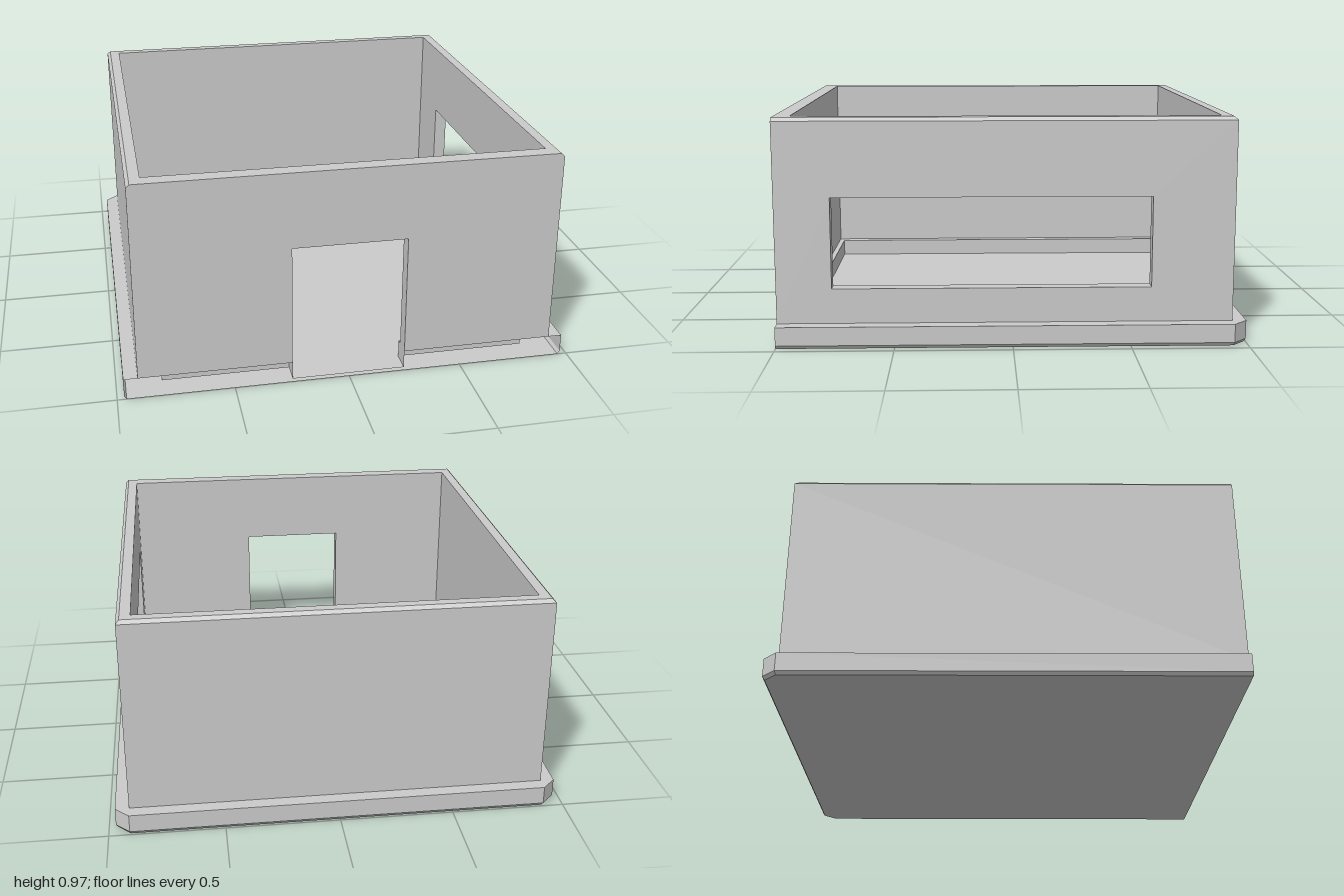
import * as THREE from 'three';

const material = new THREE.MeshStandardMaterial({ color: 0xcccccc, side: THREE.DoubleSide, flatShading: true });

// Faceted surface through rows of matching points [x, y, z]
function loft(name, rows) {
  const pos = [];
  for (let r = 0; r + 1 < rows.length; r++) {
    for (let i = 0; i + 1 < rows[r].length; i++) {
      const a = rows[r][i], b = rows[r][i + 1], c = rows[r + 1][i + 1], d = rows[r + 1][i];
      pos.push(...a, ...c, ...b, ...a, ...d, ...c);
    }
  }
  const g = new THREE.BufferGeometry();
  g.setAttribute('position', new THREE.Float32BufferAttribute(pos, 3));
  return finish(name, g);
}

// Flat panel from a 2D outline with an optional hole, placed by a mapping (u, v) -> [x, y, z]
function panel(name, outline, place, hole) {
  const toVec = (list) => list.map(([u, v]) => new THREE.Vector2(u, v));
  const shape = new THREE.Shape(toVec(outline));
  if (hole) shape.holes.push(new THREE.Path(toVec(hole)));
  const g = new THREE.ShapeGeometry(shape);
  const p = g.attributes.position;
  for (let i = 0; i < p.count; i++) p.setXYZ(i, ...place(p.getX(i), p.getY(i)));
  return finish(name, g);
}

function finish(name, geometry) {
  geometry.computeVertexNormals();
  const mesh = new THREE.Mesh(geometry, material);
  mesh.name = name;
  return mesh;
}

const rect = (u0, v0, u1, v1) => [[u0, v0], [u1, v0], [u1, v1], [u0, v1]];
const atX = (x) => (z, y) => [x, y, -z];
const atY = (y) => (x, z) => [x, y, -z];
const atZ = (z) => (x, y) => [x, y, z];

// Main levels and lines
const FLOOR = 0.015, LEDGE = 0.095, EAVE = 0.955, TOP = 0.97;
const W = 0.91, BACK = -0.94, FRONT = 1;
const IN = { l: -0.85, r: 0.85, b: -0.88, f: 0.93 };
const RIM = { l: -0.805, r: 0.815, b: -0.855, f: 0.905 };
const DOOR = { l: -0.25, r: 0.245, top: 0.635 };
const WIN = { z0: -0.59, z1: 0.765, y0: 0.245, y1: 0.635 };

export function createModel() {
  const model = new THREE.Group();
  model.name = 'openRoom';

  // Plinth skirt: clipped back corners, open along the front
  const skirt = (y, w, b, c) => [
    [-w, y, FRONT], [-w, y, b + c], [-w + c, y, b], [w - c, y, b], [w, y, b + c], [w, y, FRONT]];
  const wallFoot = [
    [-W, LEDGE, FRONT], [-W, LEDGE, BACK], [-W, LEDGE, BACK], [W, LEDGE, BACK], [W, LEDGE, BACK], [W, LEDGE, FRONT]];
  model.add(loft('plinthSkirt', [
    skirt(0, 0.96, -0.99, 0.055), skirt(FLOOR, 0.97, -1, 0.06), skirt(LEDGE, 0.97, -1, 0.06), wallFoot]));
  model.add(panel('underside', skirt(0, 0.96, -0.99, 0.055).map(([x, , z]) => [x, -z]).reverse(), atY(0)));

  // Outer walls
  const wall = new THREE.Group();
  wall.name = 'outerWalls';
  const sideOutline = rect(-FRONT, LEDGE, -BACK, EAVE);
  const windowHole = rect(-WIN.z1, WIN.y0, -WIN.z0, WIN.y1);
  wall.add(panel('windowWall', sideOutline, atX(W), windowHole));
  wall.add(loft('plainWall', [[[-W, LEDGE, FRONT], [-W, LEDGE, BACK]], [[-W, EAVE, FRONT], [-W, EAVE, BACK]]]));
  wall.add(loft('backWall', [[[-W, LEDGE, BACK], [W, LEDGE, BACK]], [[-W, EAVE, BACK], [W, EAVE, BACK]]]));
  const doorNotch = [[DOOR.l, LEDGE], [DOOR.l, DOOR.top], [DOOR.r, DOOR.top], [DOOR.r, LEDGE]];
  wall.add(panel('frontWall', [
    [-W, LEDGE], ...doorNotch, [W, LEDGE], [W, EAVE], [W - 0.015, TOP], [-W + 0.015, TOP], [-W, EAVE]], atZ(FRONT)));
  model.add(wall);

  // Bevelled wall top
  const eave = (y, s) => [[-W + s, y, FRONT], [-W + s, y, BACK + s], [W - s, y, BACK + s], [W - s, y, FRONT]];
  model.add(loft('topBevel', [eave(EAVE, 0), eave(TOP, 0.015)]));
  model.add(panel('wallTop', rect(-W + 0.015, -FRONT, W - 0.015, -BACK - 0.015), atY(TOP),
    rect(IN.l, -IN.f, IN.r, -IN.b)));

  // Inner walls
  const inner = new THREE.Group();
  inner.name = 'innerWalls';
  const innerSide = rect(-IN.f, LEDGE, -IN.b, TOP).reverse();
  inner.add(panel('innerWindowWall', innerSide, (u, v) => [IN.r, v, -u], windowHole));
  inner.add(loft('innerPlainAndBackWall', [LEDGE, TOP].map((y) =>
    [[IN.r, y, IN.b], [IN.l, y, IN.b], [IN.l, y, IN.f]])));
  inner.add(panel('innerFrontWall', [
    [IN.l, LEDGE], ...doorNotch, [IN.r, LEDGE], [IN.r, TOP], [IN.l, TOP]], atZ(IN.f)));
  model.add(inner);

  // Ledge and low rim around the floor, broken at the door
  const ring = (o, y) => [
    [DOOR.l, y, o.f], [o.l, y, o.f], [o.l, y, o.b], [o.r, y, o.b], [o.r, y, o.f], [DOOR.r, y, o.f]];
  model.add(loft('innerLedge', [ring(IN, LEDGE), ring(RIM, LEDGE), ring(RIM, FLOOR)]));
  model.add(panel('floor', [
    [RIM.l, -RIM.f], [DOOR.l, -RIM.f], [DOOR.l, -FRONT], [DOOR.r, -FRONT], [DOOR.r, -RIM.f],
    [RIM.r, -RIM.f], [RIM.r, -RIM.b], [RIM.l, -RIM.b]], atY(FLOOR)));

  // Door reveal, deeper where it meets the rim
  const doorPath = (z) => [[DOOR.l, FLOOR, z], [DOOR.l, DOOR.top, z], [DOOR.r, DOOR.top, z], [DOOR.r, FLOOR, z]];
  model.add(loft('doorReveal', [doorPath(FRONT), doorPath(IN.f)]));
  for (const x of [DOOR.l, DOOR.r]) {
    model.add(loft('doorRimEnd', [IN.f, RIM.f].map((z) => [[x, FLOOR, z], [x, LEDGE, z]])));
  }

  // Window reveal
  const windowLoop = (x) => [
    [x, WIN.y0, WIN.z0], [x, WIN.y0, WIN.z1], [x, WIN.y1, WIN.z1], [x, WIN.y1, WIN.z0], [x, WIN.y0, WIN.z0]];
  model.add(loft('windowReveal', [windowLoop(W), windowLoop(IN.r)]));

  return model;
}
